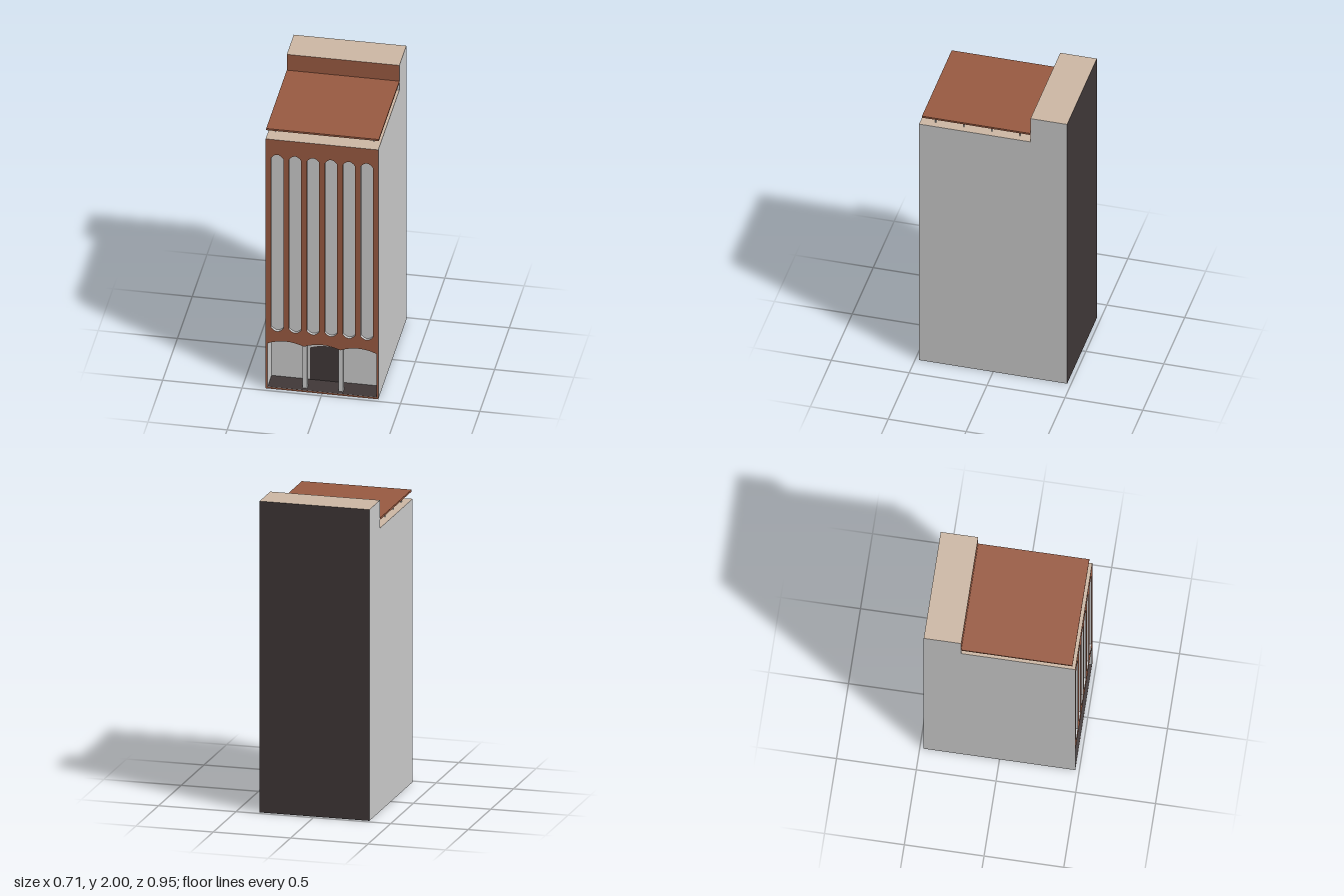
import * as THREE from 'three';

const W = 0.355, D = 0.475, ROOF = 1.82, TOP = 2, STEP = -0.24;
const WALL = 0.34;   // rear wall of the arcade
const SKIN = 0.455;  // back of the facade plate
const FLOOR = 0.012;

const mat = (color) => new THREE.MeshStandardMaterial({ color, flatShading: true });

export function createModel() {
  const grey = mat(0xcccccc), brown = mat(0x995a41), tan = mat(0xcdb8a5), dark = mat(0x403838);
  const root = new THREE.Group();

  const add = (name, geometry, material, x = 0, y = 0, z = 0, parent = root) => {
    const mesh = new THREE.Mesh(geometry, material);
    mesh.name = name;
    mesh.position.set(x, y, z);
    parent.add(mesh);
    return mesh;
  };
  // Box given by its limits
  const block = (name, material, x0, x1, y0, y1, z0, z1, parent) =>
    add(name, new THREE.BoxGeometry(x1 - x0, y1 - y0, z1 - z0), material,
      (x0 + x1) / 2, (y0 + y1) / 2, (z0 + z1) / 2, parent);
  const plate = (name, shape, depth, material, z) =>
    add(name, new THREE.ExtrudeGeometry(shape, { depth, bevelEnabled: false, curveSegments: 8 }), material, 0, 0, z);

  const outline = () => new THREE.Shape([
    new THREE.Vector2(-W, 0), new THREE.Vector2(W, 0),
    new THREE.Vector2(W, ROOF), new THREE.Vector2(-W, ROOF)]);

  // Opening of the arcade: three shallow arches side by side
  const arcadeHole = () => {
    const p = new THREE.Path(), half = 0.343, span = half * 2 / 3;
    p.moveTo(-half, FLOOR);
    p.lineTo(-half, 0.33);
    for (let i = 0; i < 3; i++) {
      const x = -half + i * span;
      p.quadraticCurveTo(x + span / 2, 0.38, x + span, 0.33);
    }
    p.lineTo(half, FLOOR);
    p.closePath();
    return p;
  };

  // Tall window slot with rounded ends
  const windowHole = (x) => {
    const p = new THREE.Path(), h = 0.0385;
    p.moveTo(x - h, 0.447);
    p.lineTo(x - h, 1.685);
    p.quadraticCurveTo(x, 1.739, x + h, 1.685);
    p.lineTo(x + h, 0.447);
    p.quadraticCurveTo(x, 0.399, x - h, 0.447);
    return p;
  };

  // Main body: solid core, with a hollow arcade layer in front
  block('core', [grey, grey, tan, grey, grey, dark], -W, W, 0, ROOF, -D, WALL);
  const arcade = outline();
  arcade.holes.push(arcadeHole());
  plate('arcadeLayer', arcade, SKIN - WALL, grey, WALL);

  // Facade plate with windows and arcade cut through
  const facade = outline();
  facade.holes.push(arcadeHole());
  for (let i = 0; i < 6; i++) facade.holes.push(windowHole((i - 2.5) * 0.113));
  plate('facade', facade, D - SKIN, [brown, grey], SKIN);

  // Roof surface over the front layers
  const roof = add('roofSurface', new THREE.PlaneGeometry(W * 2, D - STEP), tan, 0, ROOF + 0.001, (D + STEP) / 2);
  roof.rotation.x = -Math.PI / 2;

  // Arcade floor, door and columns
  const floor = add('arcadeFloor', new THREE.PlaneGeometry(0.686, SKIN - WALL + 0.018), dark, 0, FLOOR + 0.001, (WALL + D - 0.002) / 2);
  floor.rotation.x = -Math.PI / 2;
  const door = new THREE.Shape();
  door.moveTo(-0.1, FLOOR);
  door.lineTo(0.1, FLOOR);
  door.lineTo(0.1, 0.245);
  door.quadraticCurveTo(0, 0.287, -0.1, 0.245);
  add('door', new THREE.ShapeGeometry(door, 8), dark, 0, 0, WALL + 0.002);
  for (const s of [-1, 1])
    block('column', grey, s * 0.113 - 0.015, s * 0.113 + 0.015, FLOOR, 0.336, 0.42, 0.45);

  // Raised rear block, its upper front faced in brown
  block('rearBlockBase', [grey, grey, grey, grey, grey, dark], -W, W, ROOF, 1.875, -D, STEP);
  block('rearBlockTop', [grey, grey, tan, grey, brown, dark], -W, W, 1.875, TOP, -D, STEP);

  // Roof canopy on thin posts
  const canopy = new THREE.Group();
  canopy.name = 'canopy';
  root.add(canopy);
  block('canopySlab', brown, -W, W, 1.873, 1.885, STEP, 0.457, canopy);
  for (const x of [-0.31, 0.31])
    for (let i = 0; i < 4; i++) {
      const z = 0.38 - i * 0.18;
      block('canopyPost', grey, x - 0.003, x + 0.003, ROOF, 1.873, z - 0.003, z + 0.003, canopy);
    }

  return root;
}
